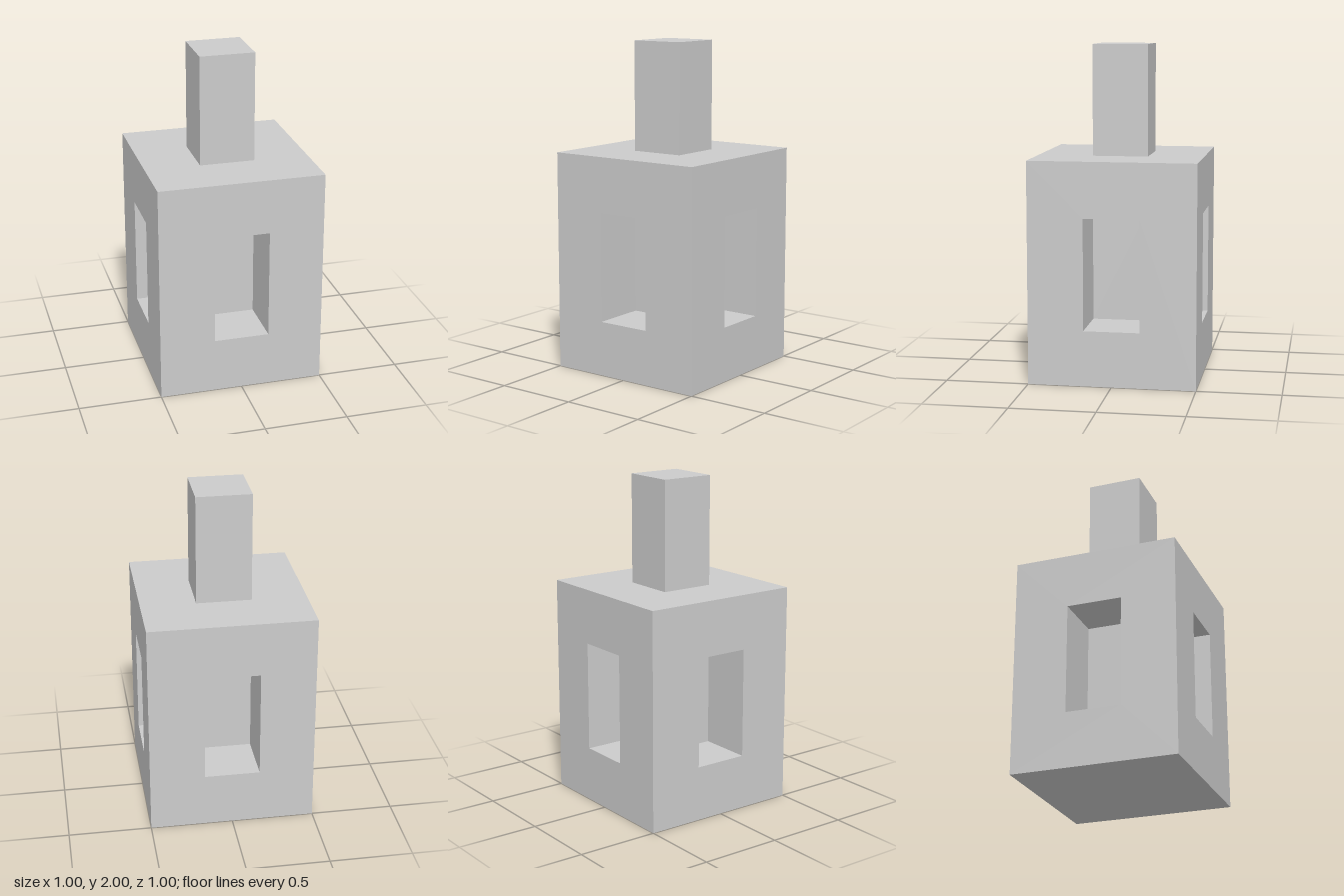
import * as THREE from 'three';

const U = 1 / 3; // the module every size is a multiple of
const WIDTH = 3 * U, HEIGHT = 4 * U, RECESS_H = 2 * U;

export function createModel() {
  const model = new THREE.Group();
  const material = new THREE.MeshStandardMaterial({ color: 0xcccccc, flatShading: true });

  const add = (parent, name, geometry, x = 0, y = 0, z = 0, rx = 0, ry = 0) => {
    const mesh = new THREE.Mesh(geometry, material);
    mesh.name = name;
    mesh.position.set(x, y, z);
    mesh.rotation.set(rx, ry, 0);
    parent.add(mesh);
    return mesh;
  };
  const plane = (w, h) => new THREE.PlaneGeometry(w, h);

  // Rectangle path centred on the origin
  const rectangle = (path, w, h) => path
    .moveTo(-w / 2, -h / 2).lineTo(w / 2, -h / 2)
    .lineTo(w / 2, h / 2).lineTo(-w / 2, h / 2).closePath();

  // Face with a window opening
  const face = rectangle(new THREE.Shape(), WIDTH, HEIGHT);
  face.holes.push(rectangle(new THREE.Path(), U, RECESS_H));
  const faceGeometry = new THREE.ShapeGeometry(face);

  // Four equal sides, each with a blind recess one module deep
  ['front', 'left', 'back', 'right'].forEach((label, i) => {
    const side = new THREE.Group();
    side.name = `${label}Side`;
    side.position.y = HEIGHT / 2;
    side.rotation.y = i * Math.PI / 2;
    add(side, 'sideFace', faceGeometry, 0, 0, WIDTH / 2);
    add(side, 'recessBack', plane(U, RECESS_H), 0, 0, U / 2);
    for (const s of [-1, 1]) {
      // Jambs face inwards; the sill faces up and the lintel down
      add(side, 'recessJamb', plane(U, RECESS_H), s * U / 2, 0, U, 0, -s * Math.PI / 2);
      add(side, s < 0 ? 'recessSill' : 'recessLintel', plane(U, U), 0, s * RECESS_H / 2, U, s * Math.PI / 2);
    }
    model.add(side);
  });

  // Body top and underside
  add(model, 'bodyTop', plane(WIDTH, WIDTH), 0, HEIGHT, 0, -Math.PI / 2);
  add(model, 'bodyBottom', plane(WIDTH, WIDTH), 0, 0, 0, Math.PI / 2);

  // Square post standing on the body
  add(model, 'post', new THREE.BoxGeometry(U, 2 * U, U), 0, HEIGHT + U, 0);

  return model;
}
